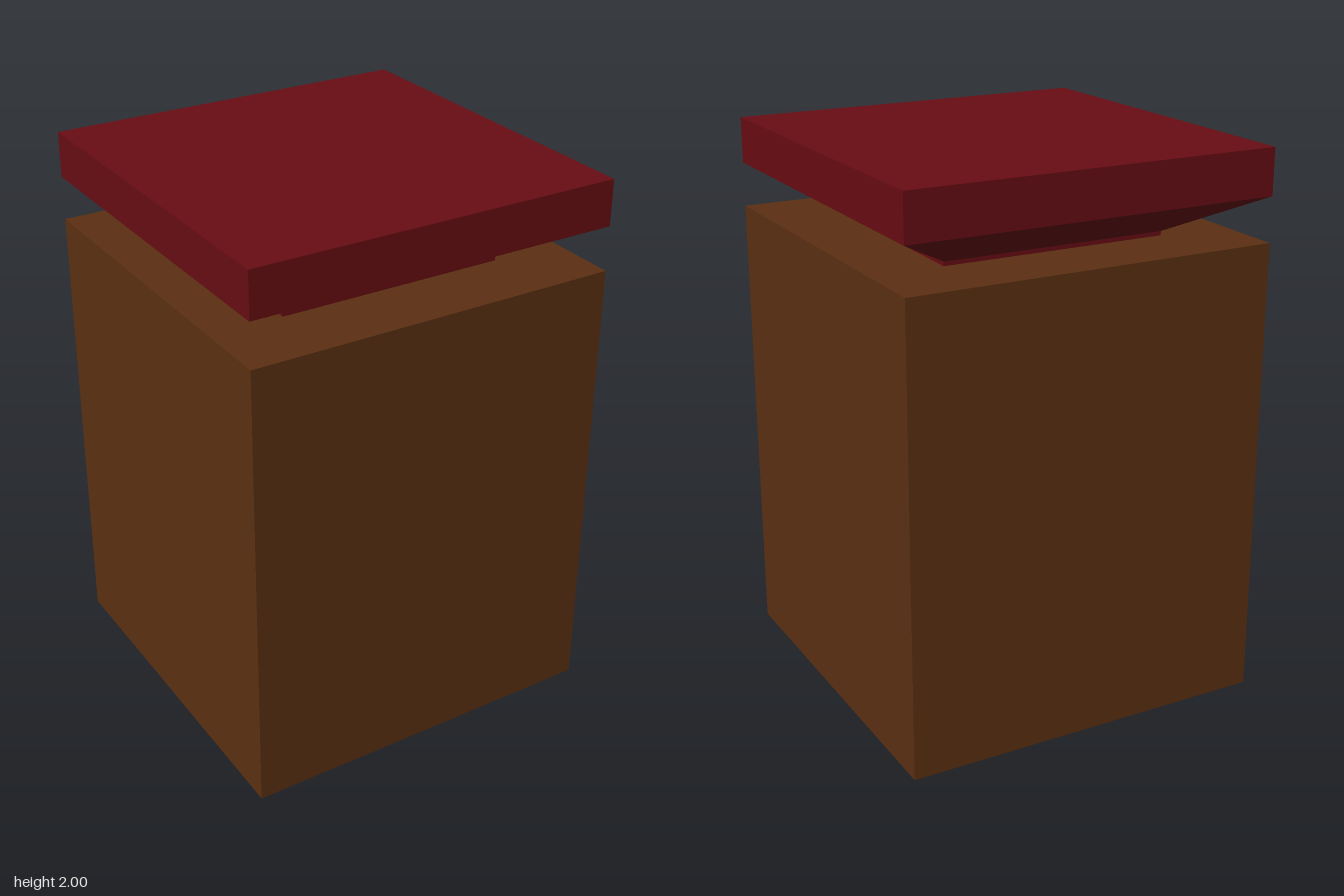
import * as THREE from 'three';

const HALF = 0.677;      // half width of body and lid
const NECK = 0.415;      // half width of the lid's narrow foot
const BODY_TOP = 1.675;

export function createModel() {
  const model = new THREE.Group();
  model.name = 'squareCanister';

  // Plain square body
  const body = new THREE.Mesh(
    new THREE.BoxGeometry(HALF * 2, BODY_TOP, HALF * 2),
    new THREE.MeshStandardMaterial({ color: 0x5c3012 })
  );
  body.name = 'body';
  body.position.y = BODY_TOP / 2;
  model.add(body);

  // Lid: short square foot, flared underside and flat slab, as a four-sided lathe
  const profile = [
    [0, BODY_TOP], [NECK, BODY_TOP], [NECK, 1.69],
    [HALF, 1.835], [HALF, 2], [0, 2],
  ].map(([halfWidth, y]) => new THREE.Vector2(halfWidth * Math.SQRT2, y));
  const lid = new THREE.Mesh(
    new THREE.LatheGeometry(profile, 4, Math.PI / 4),
    new THREE.MeshStandardMaterial({ color: 0x680d13, flatShading: true })
  );
  lid.name = 'lid';
  model.add(lid);

  return model;
}
